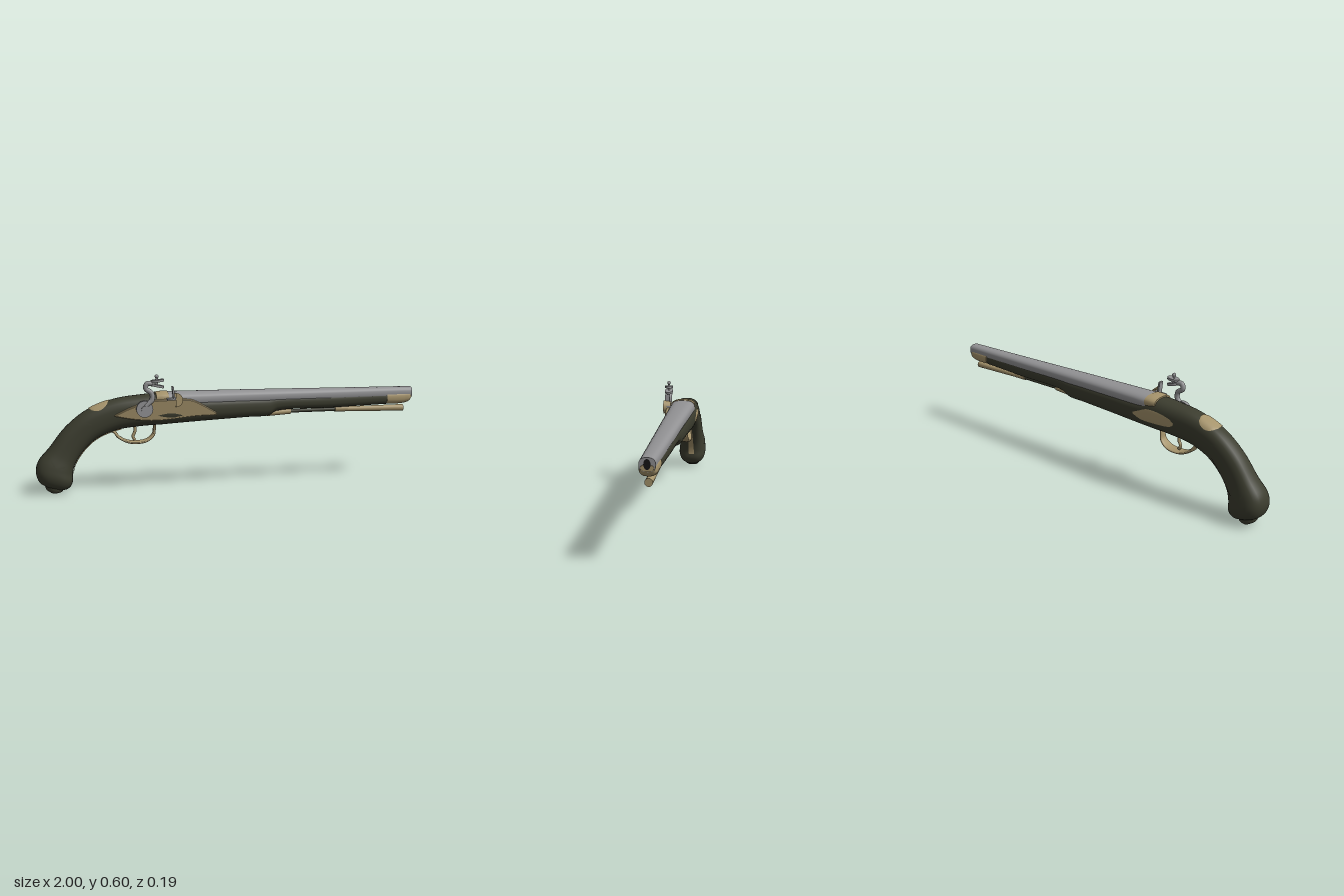
import * as THREE from 'three';

const mat = (name, color, side = THREE.FrontSide) => {
  const m = new THREE.MeshStandardMaterial({ color, side });
  m.name = name;
  return m;
};
const ZC = -0.012; // centre plane of stock and barrel

// Row: [topX, topY, bottomX, bottomY, halfWidth, zCentre]. Sections run left to right.
// An angle range (centre, spread) and grow make a thin patch lying on the surface.
function loft(rows, { n = 2.4, steps = 6, from = 0, to = rows.length - 1, sides = 28,
  centre = null, spread = 0, grow = 0, oval = false } = {}) {
  const top = new THREE.CatmullRomCurve3(rows.map(r => new THREE.Vector3(r[0], r[1], r[4])));
  const bottom = new THREE.CatmullRomCurve3(rows.map(r => new THREE.Vector3(r[2], r[3], r[5] ?? ZC)));
  const closed = centre === null;
  const count = Math.max(8, Math.round((to - from) * steps));
  const cols = closed ? sides : sides + 1;
  const pos = [], index = [];
  const pw = v => Math.sign(v) * Math.pow(Math.abs(v), 2 / n);
  for (let i = 0; i <= count; i++) {
    const f = i / count, t = (from + (to - from) * f) / (rows.length - 1);
    const a = top.getPoint(t), b = bottom.getPoint(t);
    const hx = (a.x - b.x) / 2, hy = (a.y - b.y) / 2;
    const k = 1 + grow / Math.hypot(hx, hy);
    const s = oval ? spread * Math.sqrt(Math.max(0.01, 1 - (2 * f - 1) ** 2)) : spread;
    for (let j = 0; j < cols; j++) {
      const ang = closed ? j / sides * Math.PI * 2 : centre + s * (2 * j / sides - 1);
      const u = pw(Math.sin(ang)) * k;
      pos.push((a.x + b.x) / 2 + hx * u, (a.y + b.y) / 2 + hy * u, b.z + (a.z + grow) * pw(Math.cos(ang)));
    }
  }
  for (let i = 0; i < count; i++) {
    for (let j = 0; j < sides; j++) {
      const p = i * cols + j, q = i * cols + (j + 1) % cols;
      index.push(p, p + cols, q, q, p + cols, q + cols);
    }
  }
  if (closed) { // separate vertices keep the end rims sharp
    for (const i of [0, count]) {
      const base = pos.length / 3, ring = pos.slice(i * cols * 3, (i + 1) * cols * 3);
      pos.push(...ring);
      const c = [0, 0, 0];
      ring.forEach((v, m) => { c[m % 3] += v / cols; });
      pos.push(...c);
      for (let j = 0; j < cols; j++) {
        const p = base + j, q = base + (j + 1) % cols;
        index.push(base + cols, ...(i === 0 ? [p, q] : [q, p]));
      }
    }
  }
  const g = new THREE.BufferGeometry();
  g.setAttribute('position', new THREE.Float32BufferAttribute(pos, 3));
  g.setIndex(index);
  g.computeVertexNormals();
  return g;
}

export function createModel() {
  const model = new THREE.Group();
  model.name = 'flintlockPistol';
  const wood = mat('darkWood', 0x3c3d2f, THREE.DoubleSide);
  const brass = mat('brass', 0xa6946c, THREE.DoubleSide);
  const steel = mat('steel', 0x929294);
  const black = mat('boreBlack', 0x161616);
  const add = (name, geometry, material, x = 0, y = 0, z = 0, parent = model) => {
    const m = new THREE.Mesh(geometry, material);
    m.name = name;
    m.position.set(x, y, z);
    parent.add(m);
    return m;
  };
  const tube = (pts, r, seg = 24) => new THREE.TubeGeometry(
    new THREE.CatmullRomCurve3(pts.map(p => new THREE.Vector3(...p))), seg, r, 10);

  // Stock: pommel, curved grip and long fore-end
  const stock = [
    [-0.95, 0.035, -0.87, 0.012, 0.03], [-0.985, 0.065, -0.835, 0.025, 0.065],
    [-0.998, 0.115, -0.817, 0.055, 0.08], [-0.985, 0.165, -0.815, 0.10, 0.077],
    [-0.93, 0.23, -0.80, 0.15, 0.066], [-0.85, 0.33, -0.755, 0.215, 0.061],
    [-0.74, 0.417, -0.69, 0.272, 0.061], [-0.607, 0.468, -0.59, 0.312, 0.063],
    [-0.473, 0.487, -0.47, 0.328, 0.069], [-0.36, 0.492, -0.36, 0.333, 0.073],
    [-0.30, 0.475, -0.30, 0.337, 0.073], [-0.1, 0.47, -0.1, 0.347, 0.066],
    [0.1, 0.468, 0.1, 0.356, 0.06], [0.2, 0.467, 0.2, 0.36, 0.056],
    [0.24, 0.467, 0.24, 0.382, 0.054], [0.55, 0.467, 0.55, 0.39, 0.046],
    [0.87, 0.467, 0.87, 0.4, 0.038]];
  add('stock', loft(stock, { n: 2.6 }), wood);
  add('pommelButton', loft([[-0.93, 0.004, -0.89, 0, 0.03], [-0.95, 0.02, -0.87, 0.006, 0.04],
    [-0.958, 0.05, -0.86, 0.03, 0.046]], { n: 2 }), wood);
  for (const [name, centre] of [['leftGripPanel', 0], ['rightGripPanel', Math.PI]]) {
    add(name, loft(stock, { n: 2.6, from: 3.2, to: 6, centre, spread: 0.6, grow: 0.003, oval: true }), wood);
  }

  // Brass inlays lying on the stock
  add('thumbPlate', loft(stock, { n: 2.6, from: 6.1, to: 6.85, centre: Math.PI / 2, spread: 0.95, grow: 0.003, oval: true }), brass);
  add('gripStrap', loft(stock, { n: 2.6, from: 2.7, to: 7.2, centre: -Math.PI / 2, spread: 0.13, grow: 0.004 }), brass);
  add('sidePlate', loft(stock, { n: 2.6, from: 7.7, to: 10.2, centre: Math.PI, spread: 0.3, grow: 0.003, oval: true }), brass);
  add('breechBand', loft([[-0.392, 0.499, -0.392, 0.44, 0.062], [-0.36, 0.502, -0.36, 0.44, 0.066],
    [-0.33, 0.502, -0.33, 0.44, 0.067]], { n: 2.6 }), brass);

  // Tapered barrel with an oval bore
  add('barrel', loft([[-0.335, 0.5, -0.335, 0.42, 0.066], [0.1, 0.498, 0.1, 0.425, 0.055],
    [0.55, 0.494, 0.55, 0.428, 0.045], [0.996, 0.491, 0.996, 0.43, 0.035]], { n: 2.7 }), steel);
  const bore = add('bore', new THREE.CircleGeometry(0.015, 24), black, 0.9995, 0.463, ZC);
  bore.rotation.y = Math.PI / 2;
  bore.scale.y = 1.5;
  add('muzzleCap', loft([[0.853, 0.47, 0.853, 0.4, 0.041], [0.95, 0.47, 0.95, 0.402, 0.039],
    [0.985, 0.468, 0.985, 0.413, 0.036], [0.998, 0.46, 0.998, 0.435, 0.028]], { n: 2.5 }), brass);

  // Ramrod and its pipes
  const rod = (name, x0, x1, r0, r1, y0, y1, m) => {
    add(name, loft([[x0, y0 + r0, x0, y0 - r0, r0], [x1, y1 + r1, x1, y1 - r1, r1]], { n: 2, sides: 20 }), m);
  };
  rod('ramrodShaft', 0.3, 0.58, 0.009, 0.01, 0.377, 0.379, wood);
  rod('ramrodTip', 0.57, 0.957, 0.012, 0.018, 0.379, 0.376, brass);
  rod('entryPipe', 0.195, 0.325, 0.016, 0.014, 0.37, 0.376, brass);
  rod('middlePipe', 0.57, 0.64, 0.016, 0.016, 0.381, 0.381, brass);

  // Trigger guard (wider at the bottom) and trigger
  add('triggerGuard', loft([[-0.64, 0.312, -0.645, 0.297, 0.014], [-0.6, 0.308, -0.612, 0.298, 0.016],
    [-0.575, 0.278, -0.588, 0.27, 0.022], [-0.535, 0.256, -0.54, 0.243, 0.029],
    [-0.49, 0.25, -0.49, 0.236, 0.031], [-0.44, 0.258, -0.433, 0.246, 0.028],
    [-0.41, 0.285, -0.397, 0.278, 0.022], [-0.405, 0.315, -0.391, 0.315, 0.018],
    [-0.402, 0.345, -0.388, 0.345, 0.018]], { n: 3 }), brass);
  add('trigger', tube([[-0.5, 0.34, ZC], [-0.498, 0.3, ZC], [-0.508, 0.275, ZC], [-0.5, 0.255, ZC]], 0.008), brass);

  // Lock plate, leaning outward at the top
  const outline = new THREE.Shape();
  outline.moveTo(-0.6, -0.025);
  outline.splineThru([[-0.53, 0.008], [-0.45, 0.035], [-0.39, 0.046], [-0.24, 0.046], [-0.18, 0.027],
    [-0.09, -0.025]].map(p => new THREE.Vector2(...p)));
  outline.lineTo(-0.09, -0.035);
  outline.splineThru([[-0.2, -0.037], [-0.38, -0.053], [-0.5, -0.045], [-0.6, -0.025]]
    .map(p => new THREE.Vector2(...p)));
  const plate = add('lockPlate', new THREE.ExtrudeGeometry(outline,
    { depth: 0.016, bevelEnabled: true, bevelSize: 0.003, bevelThickness: 0.003, bevelSegments: 1, curveSegments: 20 }),
    brass, 0, 0.42, 0.045);
  plate.rotation.x = 0.16;

  // Priming pan and frizzen
  const pan = add('primingPan', new THREE.CylinderGeometry(0.036, 0.03, 0.04, 20, 1, false, Math.PI / 2, Math.PI),
    brass, -0.30, 0.468, 0.07);
  pan.geometry.rotateY(Math.PI / 2);
  pan.geometry.rotateX(Math.PI / 2);
  pan.geometry.rotateZ(Math.PI);
  const panLid = add('panCover', new THREE.BoxGeometry(0.075, 0.008, 0.042), steel, -0.305, 0.472, 0.068);
  panLid.rotation.z = 0.05;
  const frizzen = add('frizzen', new THREE.BoxGeometry(0.009, 0.065, 0.027), steel, -0.31, 0.503, 0.072);
  frizzen.rotation.z = 0.12;

  // Cock: round base, S-shaped neck, two jaws and a screw
  const cock = new THREE.Group();
  cock.name = 'cock';
  model.add(cock);
  const disc = (name, r, d, z) => {
    add(name, new THREE.CylinderGeometry(r, r, d, 24), steel, -0.455, 0.425, z, cock).rotation.x = Math.PI / 2;
  };
  disc('cockBase', 0.042, 0.02, 0.071);
  disc('cockScrew', 0.017, 0.01, 0.083);
  add('cockNeck', tube([[-0.45, 0.44, 0.073], [-0.418, 0.472, 0.073], [-0.42, 0.505, 0.073],
    [-0.448, 0.528, 0.073], [-0.442, 0.552, 0.073], [-0.405, 0.55, 0.073]], 0.013, 36), steel, 0, 0, 0, cock);
  [[0.541, -0.22], [0.566, 0.08]].forEach(([y, tilt], i) => {
    const jaw = add(i ? 'upperJaw' : 'lowerJaw', new THREE.CylinderGeometry(0.034, 0.034, 0.012, 16),
      steel, -0.39, y, 0.073, cock);
    jaw.scale.z = 0.65;
    jaw.rotation.z = tilt;
  });
  add('jawScrew', new THREE.CylinderGeometry(0.006, 0.006, 0.05, 12), steel, -0.393, 0.563, 0.073, cock);
  add('jawScrewHead', new THREE.SphereGeometry(0.01, 12, 8), steel, -0.393, 0.588, 0.073, cock);

  return model;
}
